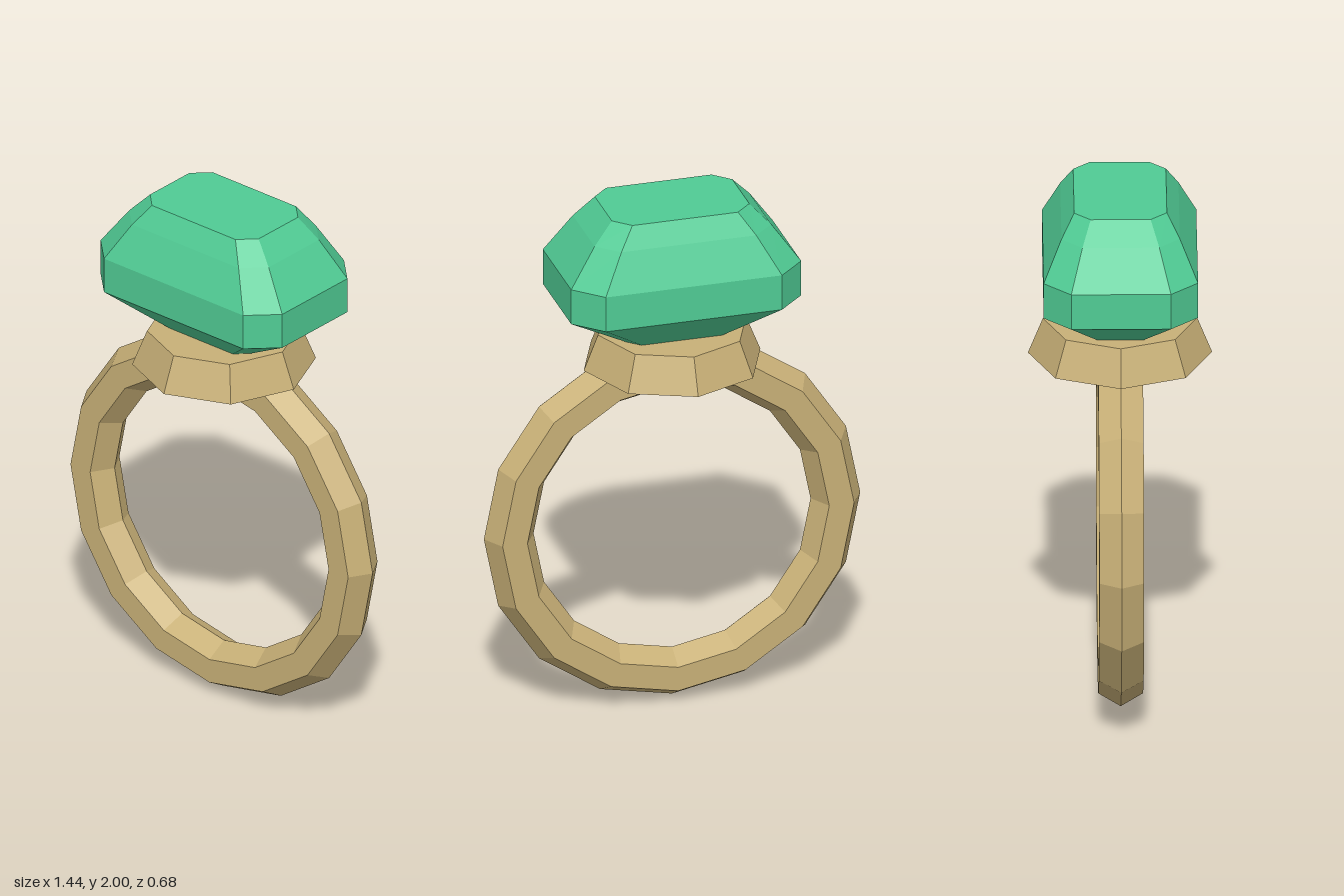
import * as THREE from 'three';

// Chamfered-rectangle outline at one height: half sizes hx, hz and corner starts cx, cz
function octagon([y, hx, hz, cx, cz]) {
  return [
    [hx, y, cz], [hx, y, -cz], [cx, y, -hz], [-cx, y, -hz],
    [-hx, y, -cz], [-hx, y, cz], [-cx, y, hz], [cx, y, hz],
  ];
}

// Closed loft through octagonal sections, listed from bottom to top
function loft(sections) {
  const rings = sections.map(octagon);
  const index = [];
  for (let r = 0; r < rings.length - 1; r++) {
    for (let i = 0; i < 8; i++) {
      const a = r * 8 + i, b = r * 8 + (i + 1) % 8;
      index.push(a, b, b + 8, a, b + 8, a + 8);
    }
  }
  const top = (rings.length - 1) * 8;
  for (let i = 1; i < 7; i++) {
    index.push(top, top + i, top + i + 1);
    index.push(0, i + 1, i);
  }
  const geometry = new THREE.BufferGeometry();
  geometry.setAttribute('position', new THREE.Float32BufferAttribute(rings.flat(2), 3));
  geometry.setIndex(index);
  const flat = geometry.toNonIndexed();
  flat.computeVertexNormals();
  return flat;
}

export function createModel() {
  const gold = new THREE.MeshStandardMaterial({ color: 0xc8b077, flatShading: true });
  gold.name = 'gold';
  const green = new THREE.MeshStandardMaterial({ color: 0x50cb94, flatShading: true });
  green.name = 'green gemstone';

  const group = new THREE.Group();
  group.name = 'gemRing';
  const add = (name, geometry, material, y = 0) => {
    const mesh = new THREE.Mesh(geometry, material);
    mesh.name = name;
    mesh.position.y = y;
    group.add(mesh);
  };

  // Band with a hexagonal cross-section
  add('band', new THREE.TorusGeometry(0.625, 0.095, 6, 16), gold, 0.722);

  // Eight-sided tapered collar
  add('setting', new THREE.CylinderGeometry(0.283, 0.338, 0.137, 8), gold, 1.4225);

  // Step-cut stone: pavilion, girdle, two crown steps and table
  add('gemstone', loft([
    [1.45, 0.137, 0.088, 0.104, 0.057],
    [1.638, 0.44, 0.283, 0.337, 0.183],
    [1.777, 0.44, 0.283, 0.337, 0.183],
    [1.92, 0.338, 0.217, 0.258, 0.141],
    [2.0, 0.263, 0.17, 0.202, 0.11],
  ]), green);

  return group;
}
